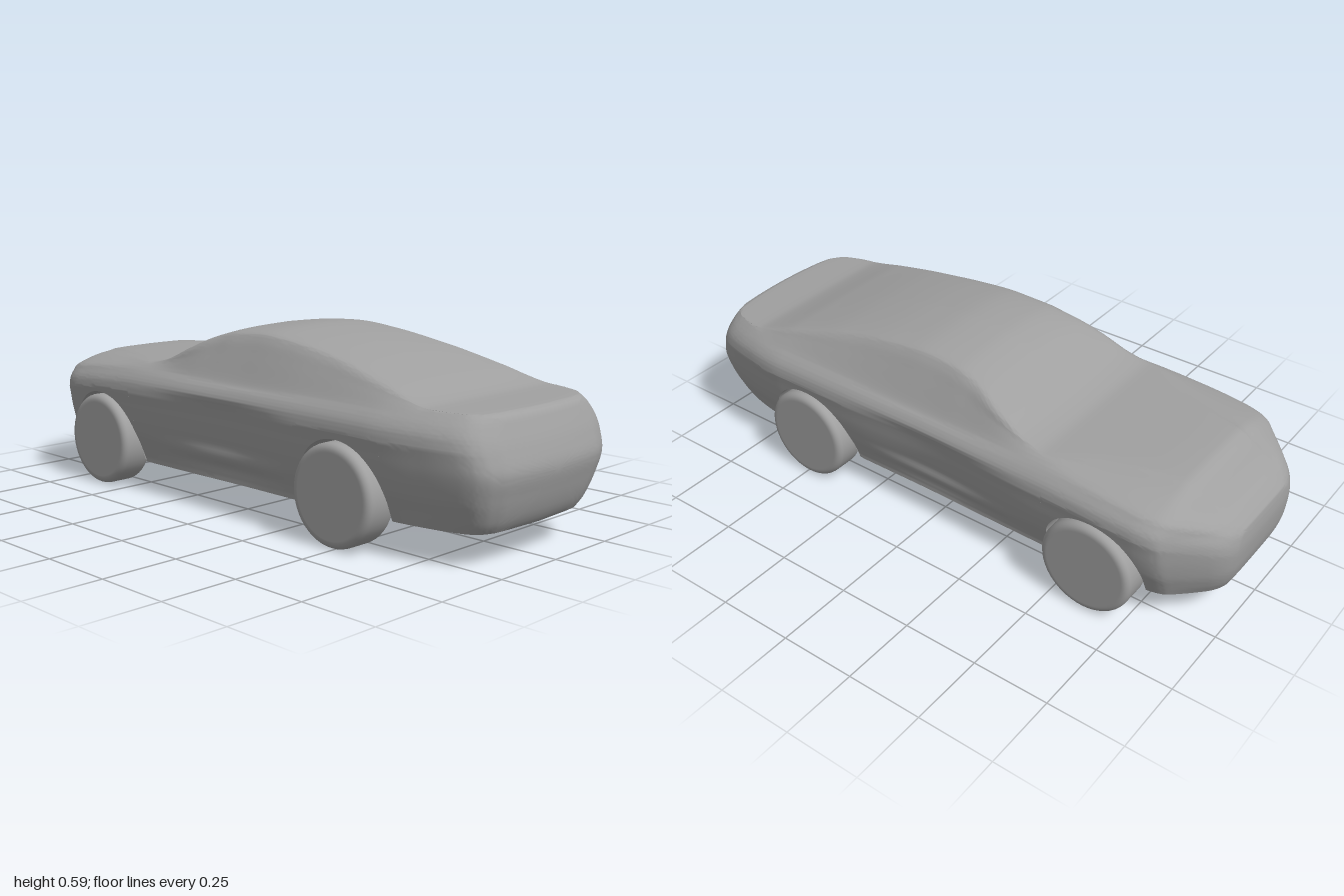
import * as THREE from 'three';
import { toCreasedNormals } from 'three/addons/utils/BufferGeometryUtils.js';

const AXLES = [-0.62, 0.49], WHEEL_R = 0.155, ARCH_R = 0.165;
const { smoothstep } = THREE.MathUtils;

// Smooth, non-overshooting interpolation through [x, value] pairs
function curve(pts) {
  const n = pts.length;
  const slope = i => (pts[i + 1][1] - pts[i][1]) / (pts[i + 1][0] - pts[i][0]);
  const tan = pts.map((_, i) => {
    if (i === 0) return slope(0);
    if (i === n - 1) return slope(n - 2);
    const a = slope(i - 1), b = slope(i);
    return a * b <= 0 ? 0 : (2 * a * b) / (a + b);
  });
  return x => {
    x = Math.min(Math.max(x, pts[0][0]), pts[n - 1][0]);
    let i = 0;
    while (i < n - 2 && x > pts[i + 1][0]) i++;
    const h = pts[i + 1][0] - pts[i][0], t = (x - pts[i][0]) / h, u = 1 - t;
    return pts[i][1] * (1 + 2 * t) * u * u + tan[i] * h * t * u * u
      + pts[i + 1][1] * t * t * (3 - 2 * t) - tan[i + 1] * h * t * t * u;
  };
}

// Lengthwise lines of the body
const centreTop = curve([[-1, 0.322], [-0.988, 0.34], [-0.96, 0.363], [-0.92, 0.383], [-0.86, 0.407], [-0.81, 0.433],
  [-0.7, 0.437], [-0.42, 0.438], [-0.35, 0.455], [-0.25, 0.507], [-0.15, 0.555], [-0.05, 0.581], [0.07, 0.588],
  [0.2, 0.576], [0.4, 0.54], [0.6, 0.487], [0.78, 0.436], [0.985, 0.43], [1, 0.422]]);
const deckTop = curve([[-1, 0.318], [-0.988, 0.336], [-0.96, 0.358], [-0.9, 0.38], [-0.8, 0.405], [-0.6, 0.425],
  [-0.42, 0.434], [0.5, 0.435], [0.78, 0.432], [0.985, 0.427], [1, 0.419]]);
const halfWidth = curve([[-1, 0.165], [-0.992, 0.2], [-0.97, 0.243], [-0.9, 0.315], [-0.84, 0.35], [-0.75, 0.37],
  [-0.6, 0.375], [-0.2, 0.372], [0.05, 0.368], [0.3, 0.37], [0.6, 0.371], [0.8, 0.348], [0.92, 0.326],
  [0.965, 0.308], [0.99, 0.278], [1, 0.235]]);
const roofHalf = curve([[-1, 0.11], [-0.95, 0.15], [-0.75, 0.18], [-0.6, 0.22], [-0.4, 0.29], [-0.25, 0.28],
  [-0.1, 0.252], [0.05, 0.243], [0.3, 0.247], [0.6, 0.27], [0.78, 0.28], [0.95, 0.255], [1, 0.185]]);
// Side width by relative height, and the end contours by height
const sideShape = curve([[0, 0.81], [0.15, 0.865], [0.3, 0.92], [0.5, 0.965], [0.63, 0.985], [0.72, 1]]);
const tailShape = curve([[0.1, -0.06], [0.13, -0.04], [0.2, -0.015], [0.27, 0], [0.33, -0.015], [0.4, -0.045], [0.43, -0.06]]);
const noseShape = curve([[0.1, 0.035], [0.14, 0.017], [0.2, 0.004], [0.26, 0], [0.3, 0.003], [0.34, 0.012]]);

// Inset of the door hollow, with its ledge below and crease above, and the sill groove
function hollow(s, y) {
  const t = Math.abs(s + 0.03) / 0.4;
  if (t > 1) return 0;
  const door = smoothstep(y, 0.17, 0.215) * (1 - smoothstep(y, 0.335, 0.375));
  const groove = Math.exp(-(((y - 0.135) / 0.022) ** 2));
  return Math.cos(t * Math.PI / 2) ** 2 * (0.014 * door + 0.009 * groove);
}

// Closed cross-section [z, y] at a station; archY is the lower edge of the side
function section(s, archY) {
  const w = halfWidth(s), d = deckTop(s), top = Math.max(centreTop(s), d + 0.002), h = top - d, rz = roofHalf(s);
  const sill = smoothstep(s, -0.47, -0.455) * (1 - smoothstep(s, 0.32, 0.335));
  const b = 0.1 - 0.01 * sill, y0 = archY ?? b;
  const at = f => 0.1 + f * (d - 0.1);
  const wall = Math.min(0.26, w * 0.7), y1 = at(0.72);
  const floor = [[0, 0.1], [wall * 0.88, 0.1], [wall, b], [wall, y0]];
  const side = [];
  for (let i = 0; i <= 26; i++) {
    const y = y0 + (y1 - y0) * i / 26;
    side.push([w * sideShape((y - 0.1) / (d - 0.1)), y]);
  }
  const shoulder = new THREE.SplineCurve([
    [w, y1], [0.985 * w, at(0.82)], [0.94 * w, at(0.9)], [0.88 * w, at(0.965)],
    [(0.87 * w + rz) / 2, d + h * 0.42], [rz * 1.03, d + h * 0.77], [rz * 0.92, d + h * 0.9],
    [rz * 0.55, d + h * 0.97], [0, top]].map(p => new THREE.Vector2(...p)));
  shoulder.getPoints(48).slice(1, -1).forEach(p => side.push([p.x, p.y]));
  const half = [...floor, ...side.map(([z, y]) => [z - hollow(s, y), y]), [0, top]];
  return [...half, ...half.slice(0, -1).reverse().map(([z, y]) => [-z, y])];
}

// Bends the flat end sections into a rounded nose and tail
function bend(s, y, z) {
  if (s > 0.7) return s + smoothstep(s, 0.7, 1) * (tailShape(y) - 0.026 * (z / 0.28) ** 2);
  if (s < -0.8) return s + smoothstep(-s, 0.8, 1) * (noseShape(y) + 0.01 * (z / 0.2) ** 4);
  return s;
}

function bodyGeometry() {
  const stations = [];
  // Stations gather towards the end at b when ease is above 1
  const span = (a, b, n, ease = 1) => {
    const list = [];
    for (let i = 0; i <= n; i++) list.push([b + (a - b) * (1 - i / n) ** ease]);
    return list;
  };
  const arch = c => {
    for (let i = 0; i <= 32; i++) {
      const t = Math.PI * (1 - i / 32);
      stations.push([c + ARCH_R * Math.cos(t), WHEEL_R + ARCH_R * Math.sin(t)]);
    }
  };
  stations.push(...span(AXLES[0] - ARCH_R, -1, 28, 1.8).reverse());
  arch(AXLES[0]);
  stations.push(...span(AXLES[0] + ARCH_R, AXLES[1] - ARCH_R, 48));
  arch(AXLES[1]);
  stations.push(...span(AXLES[1] + ARCH_R, 1, 36, 1.8));

  const rings = stations.map(([s, a]) => section(s, a).map(([z, y]) => [bend(s, y, z), y, z]));
  // End caps: the end sections shrunk step by step to a point
  const cap = (s, k) => section(s).map(([z, y]) => {
    const yk = 0.26 + (y - 0.26) * k;
    return [bend(s, yk, z * k), yk, z * k];
  });
  for (let k = 9; k >= 0; k--) {
    rings.unshift(cap(-1, k / 10));
    rings.push(cap(1, k / 10));
  }

  const m = rings[0].length, index = [];
  for (let i = 0; i < rings.length - 1; i++) {
    for (let j = 0; j < m - 1; j++) {
      const a = i * m + j, b = a + m;
      index.push(a, b, a + 1, b, b + 1, a + 1);
    }
  }
  const geo = new THREE.BufferGeometry();
  geo.setAttribute('position', new THREE.Float32BufferAttribute(rings.flat(2), 3));
  geo.setIndex(index);
  return toCreasedNormals(geo, 0.95);
}

// Plain disc wheel with rounded shoulders, axle along z
function wheelGeometry() {
  const r = WHEEL_R, hw = 0.057, e = 0.022, pts = [];
  const add = (x, y) => pts.push(new THREE.Vector2(x, y));
  add(0, -hw);
  add(r - e - 0.004, -hw);
  for (const side of [-1, 1]) {
    for (let i = 0; i <= 6; i++) {
      const t = (side < 0 ? i : 6 - i) / 6 * Math.PI / 2;
      add(r - e + e * Math.sin(t), side * (hw - e + e * Math.cos(t)));
    }
  }
  add(r - e - 0.004, hw);
  add(0, hw);
  return new THREE.LatheGeometry(pts, 48).rotateX(Math.PI / 2);
}

export function createModel() {
  const car = new THREE.Group();
  car.name = 'car';
  const material = new THREE.MeshStandardMaterial({ color: 0xa0a0a0 });

  const body = new THREE.Mesh(bodyGeometry(), material);
  body.name = 'body';
  car.add(body);

  const wheelGeo = wheelGeometry();
  AXLES.forEach((x, i) => {
    for (const side of [-1, 1]) {
      const wheel = new THREE.Mesh(wheelGeo, material);
      wheel.name = (side > 0 ? 'left' : 'right') + (i === 0 ? 'Front' : 'Rear') + 'Wheel';
      wheel.position.set(x, WHEEL_R, side * 0.327);
      car.add(wheel);
    }
  });
  return car;
}
